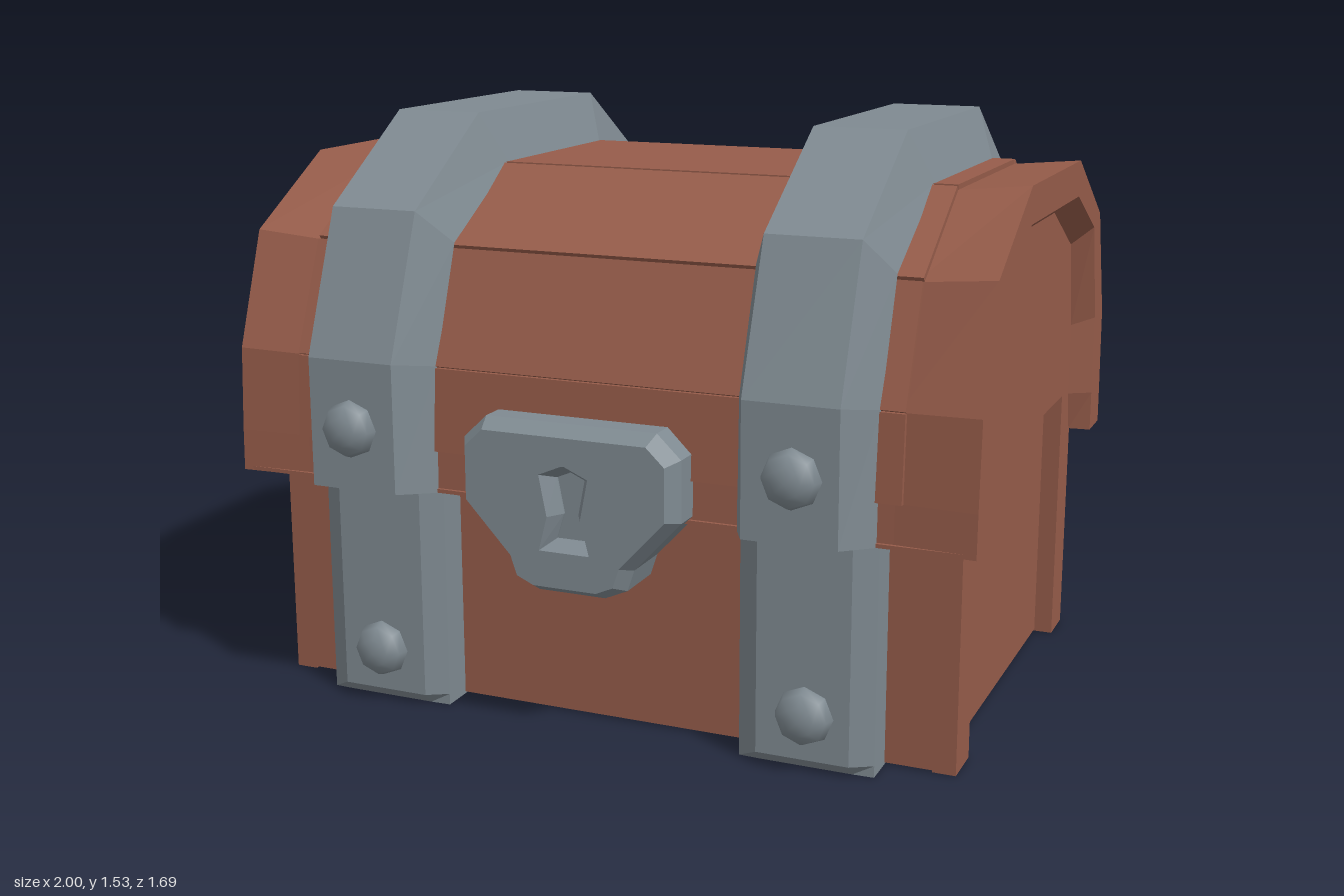
import * as THREE from 'three';

const wood = new THREE.MeshStandardMaterial({ color: 0x965c4a });
wood.name = 'reddish wood';
const iron = new THREE.MeshStandardMaterial({ color: 0x7f8a91 });
iron.name = 'grey iron';

const MID_Z = -0.025;

// Turns half a profile [z, y], bottom to top, into a full arch from front to back
const arch = (half) => [...half, ...half.slice().reverse().map(([z, y]) => [-z, y])];

// Skins profiles of equal length placed at increasing x; capEnds closes both profile ends
function loft(stations, capEnds = false) {
  const pos = [];
  const pt = (i, j) => [stations[i].x, stations[i].p[j][1], stations[i].p[j][0]];
  const tri = (a, b, c) => pos.push(...a, ...b, ...c);
  const n = stations[0].p.length;
  for (let i = 0; i < stations.length - 1; i++) {
    for (let j = 0; j < n - 1; j++) {
      const a = pt(i, j), b = pt(i + 1, j), c = pt(i + 1, j + 1), d = pt(i, j + 1);
      tri(a, b, c);
      tri(a, c, d);
    }
  }
  if (capEnds) {
    for (let i = 1; i < stations.length - 1; i++) {
      tri(pt(0, 0), pt(i + 1, 0), pt(i, 0));
      tri(pt(0, n - 1), pt(i, n - 1), pt(i + 1, n - 1));
    }
  }
  const g = new THREE.BufferGeometry();
  g.setAttribute('position', new THREE.Float32BufferAttribute(pos, 3));
  g.computeVertexNormals();
  return g;
}

function add(parent, name, geometry, material, x = 0, y = 0, z = 0) {
  const m = new THREE.Mesh(geometry, material);
  m.name = name;
  m.position.set(x, y, z);
  parent.add(m);
  return m;
}

const shapeOf = (pts) => new THREE.Shape(pts.map(([x, y]) => new THREE.Vector2(x, y)));

export function createModel() {
  const root = new THREE.Group();
  root.name = 'treasureChest';
  const chest = new THREE.Group();
  chest.name = 'chest';
  chest.position.z = MID_Z;
  root.add(chest);

  // Half profiles of the lid
  const outer = [[0.705, 0.59], [0.702, 0.7], [0.69, 0.92], [0.585, 1.22], [0.28, 1.4]];
  const middle = [[0.695, 0.59], [0.692, 0.7], [0.68, 0.915], [0.565, 1.2], [0.29, 1.38]];
  const recess = [[0.587, 0.59], [0.587, 0.7], [0.587, 0.92], [0.51, 1.19], [0.275, 1.305]];
  const inner = [[0.58, 0.59], [0.55, 0.7], [0.55, 0.9], [0.495, 1.14], [0.26, 1.26]];

  // Body core
  add(chest, 'body', new THREE.BoxGeometry(1.78, 0.995, 1.18), wood, 0, 0.5025, 0);

  // End walls with a sunken panel below
  const wall = [[-0.47, 0], [-0.47, 0.71], [0.47, 0.71], [0.47, 0], [0.59, 0], [0.59, 0.59],
    ...arch(inner), [-0.59, 0.59], [-0.59, 0]];
  for (const s of [-1, 1]) {
    const g = new THREE.ExtrudeGeometry(shapeOf(wall), { depth: 0.06, bevelEnabled: false });
    g.rotateY(s * Math.PI / 2);
    add(chest, 'endWall', g, wood, s * 0.88, 0, 0);
  }

  // Lid shell with flared, hollowed ends
  const side = [[0.8, middle], [1, outer], [1, recess], [0.94, inner]];
  const stations = [
    ...side.slice().reverse().map(([x, p]) => ({ x: -x, p: arch(p) })),
    ...side.map(([x, p]) => ({ x, p: arch(p) })),
  ];
  add(chest, 'lid', loft(stations), wood);

  // Underside of the lid rim
  for (const s of [-1, 1]) {
    add(chest, 'lidRim', new THREE.BoxGeometry(1.998, 0.01, 0.115), wood, 0, 0.596, s * 0.646);
  }

  // Thin planks on the lid
  const rim = arch(middle);
  for (let j = 1; j < rim.length - 2; j++) {
    const [z0, y0] = rim[j], [z1, y1] = rim[j + 1];
    const len = Math.hypot(z1 - z0, y1 - y0);
    const plank = add(chest, 'plank', new THREE.BoxGeometry(1.64, 0.03, len), wood,
      0, (y0 + y1) / 2, (z0 + z1) / 2);
    plank.rotation.x = Math.atan2(y1 - y0, z0 - z1);
  }

  // Iron straps: bevelled arch on the lid, bevelled block around the body
  const strapIn = arch([[0.7, 0.59], [0.69, 0.92], [0.583, 1.22], [0.28, 1.395]]);
  const strapOut = arch([[0.82, 0.61], [0.82, 0.945], [0.68, 1.31], [0.34, 1.527]]);
  const strapGeo = loft([
    { x: -0.175, p: strapIn }, { x: -0.12, p: strapOut },
    { x: 0.12, p: strapOut }, { x: 0.175, p: strapIn },
  ], true);
  const base = (o, bevel, low) => [[-o, 0.6], [-o, low + 0.03], [bevel - o, low],
    [o - bevel, low], [o, low + 0.03], [o, 0.6]];
  const ring = [[0.175, base(0.5, 0, 0.1)], [0.175, base(0.675, 0, 0)], [0.12, base(0.707, 0.03, 0)]];
  const baseGeo = loft([
    ...ring.map(([x, p]) => ({ x: -x, p })),
    ...ring.slice().reverse().map(([x, p]) => ({ x, p })),
  ]);
  const rivetGeo = new THREE.SphereGeometry(0.075, 8, 6);
  rivetGeo.rotateX(Math.PI / 2);
  rivetGeo.scale(1, 1, 0.72);
  for (const s of [-1, 1]) {
    add(chest, 'lidStrap', strapGeo, iron, s * 0.585);
    add(chest, 'bodyStrap', baseGeo, iron, s * 0.585);
    add(chest, 'upperRivet', rivetGeo, iron, s * 0.59, 0.77, 0.82);
    add(chest, 'lowerRivet', rivetGeo, iron, s * 0.59, 0.145, 0.707);
  }

  // Lock plate with a bevelled keyhole
  const half = [[0.085, 0.42], [0.13, 0.44], [0.147, 0.49], [0.268, 0.62], [0.268, 0.757], [0.22, 0.803]];
  const mirror = (h) => [...h, ...h.slice().reverse().map(([x, y]) => [-x, y])];
  const plate = shapeOf(mirror(half));
  const key = mirror([[0.068, 0.512], [0.045, 0.6], [0.066, 0.705], [0.004, 0.732]]);
  plate.holes.push(new THREE.Path(key.map(([x, y]) => new THREE.Vector2(x, y))));
  const plateGeo = new THREE.ExtrudeGeometry(plate, {
    depth: 0.14, bevelEnabled: true, bevelThickness: 0.045, bevelSize: 0.025, bevelSegments: 1,
  });
  add(root, 'lockPlate', plateGeo, iron, 0, 0, 0.6);
  add(root, 'keyholeFloor', new THREE.BoxGeometry(0.2, 0.28, 0.02), iron, 0, 0.62, 0.725);

  return root;
}
